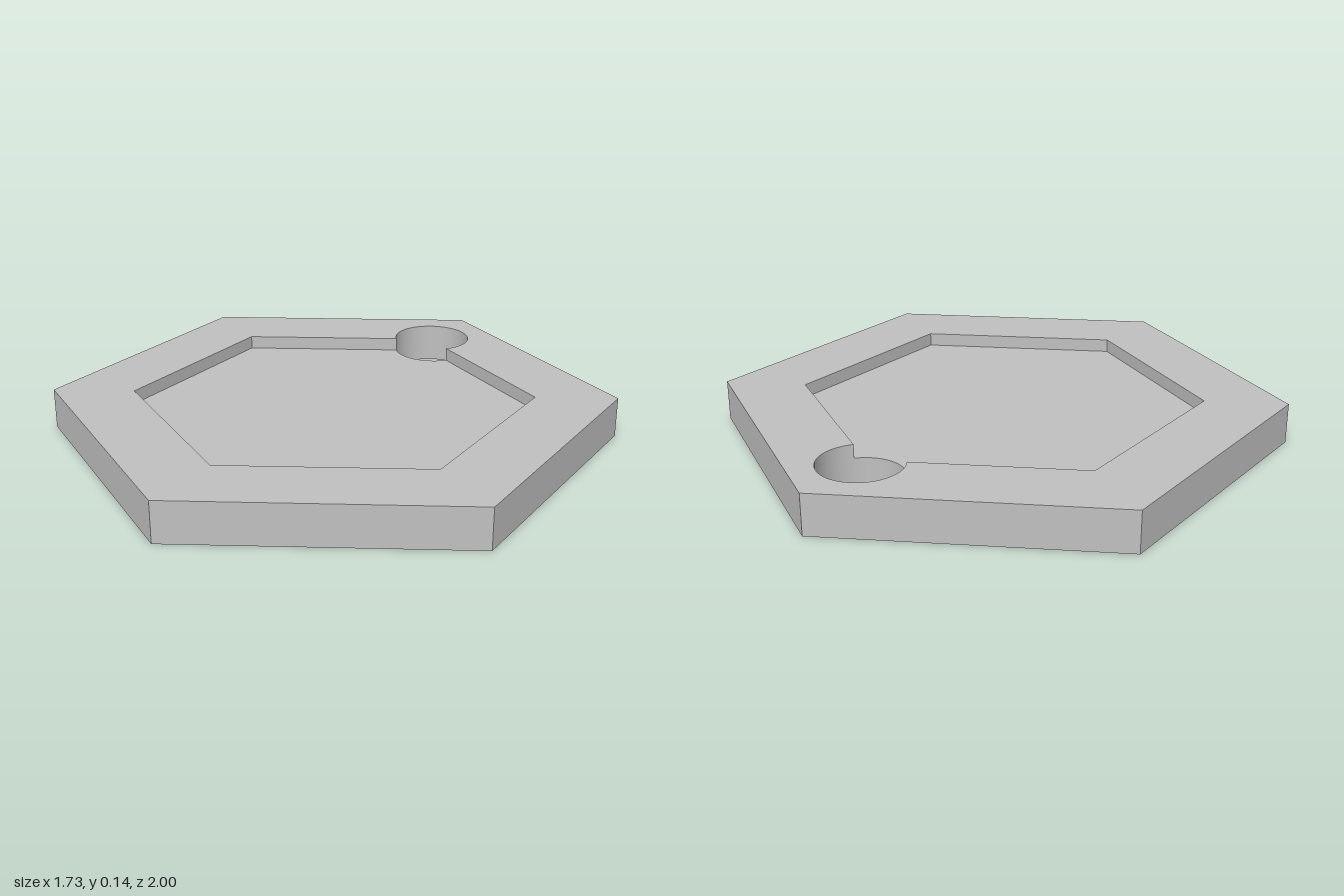
import * as THREE from 'three';

const TOP = 0.143, FLOOR = 0.095;          // plate height, recess floor height
const OUTER = 1, INNER = 0.71;             // hexagon corner radii
const HOLE_Z = 0.735, HOLE_R = 0.143;      // hole distance behind centre, radius

// Plan points are (x, -z), so "up" in plan is the back.
const hexPoint = (r, degrees) => {
  const a = THREE.MathUtils.degToRad(degrees);
  return new THREE.Vector2(r * Math.cos(a), r * Math.sin(a));
};

const arc = (from, to, n) => Array.from({ length: n + 1 }, (_, i) => {
  const a = from + (to - from) * i / n;
  return new THREE.Vector2(HOLE_R * Math.cos(a), HOLE_Z + HOLE_R * Math.sin(a));
});

// Horizontal face at height y, facing up or down
function face(points, y, up = true, hole) {
  const shape = new THREE.Shape(points);
  if (hole) shape.holes.push(new THREE.Path(hole));
  const g = new THREE.ShapeGeometry(shape);
  if (!up) {
    const ix = g.index.array;
    for (let i = 0; i < ix.length; i += 3) [ix[i], ix[i + 1]] = [ix[i + 1], ix[i]];
  }
  g.rotateX(-Math.PI / 2).translate(0, y, 0);
  g.computeVertexNormals();
  return g;
}

// Vertical wall along a path, facing the right-hand side of travel
function wall(points, y0, y1, smooth = false) {
  const pos = [], index = [];
  points.forEach((p, i) => {
    pos.push(p.x, y0, -p.y, p.x, y1, -p.y);
    const k = 2 * i;
    if (i < points.length - 1) index.push(k, k + 2, k + 3, k, k + 3, k + 1);
  });
  let g = new THREE.BufferGeometry();
  g.setAttribute('position', new THREE.Float32BufferAttribute(pos, 3));
  g.setIndex(index);
  if (!smooth) g = g.toNonIndexed();
  g.computeVertexNormals();
  return g;
}

export function createModel() {
  const grey = new THREE.MeshStandardMaterial({ color: 0xc0c0c0 });
  grey.name = 'plain grey';
  const group = new THREE.Group();
  group.name = 'hexagonalTag';
  const add = (name, geometry) => {
    const mesh = new THREE.Mesh(geometry, grey);
    mesh.name = name;
    group.add(mesh);
  };

  // Where the hole cuts the recess edge: v = INNER - u / sqrt(3)
  const s = 1 / Math.sqrt(3), d = INNER - HOLE_Z;
  const a = 1 + s * s, b = -2 * s * d, c = d * d - HOLE_R * HOLE_R;
  const u = (-b + Math.sqrt(b * b - 4 * a * c)) / (2 * a);
  const cut = Math.atan2(d - s * u, u);    // below the hole's centre, so negative

  // Outlines, with inner ones running clockwise
  const rim = [30, 90, 150, 210, 270, 330].map((t) => hexPoint(OUTER, t));
  const backArc = arc(Math.PI - cut, cut, 48);
  const frontArc = arc(cut, -Math.PI - cut, 24);
  const corners = [30, -30, -90, -150, -210].map((t) => hexPoint(INNER, t));
  const recess = [backArc[48], ...corners, backArc[0]];

  // Outer plate
  add('outerWall', wall([...rim, rim[0]], 0, TOP));
  add('topBorder', face(rim, TOP, true, [...recess, ...backArc.slice(1, -1)]));
  add('underside', face(rim, 0, false, [...backArc, ...frontArc.slice(1, -1)]));

  // Sunken panel
  add('recessWall', wall(recess, FLOOR, TOP));
  add('recessFloor', face([...recess, ...frontArc.slice(1, -1).reverse()], FLOOR));

  // Hanging hole, lower where it opens into the recess
  add('holeBackWall', wall(backArc, 0, TOP, true));
  add('holeFrontWall', wall(frontArc, 0, FLOOR, true));
  return group;
}
